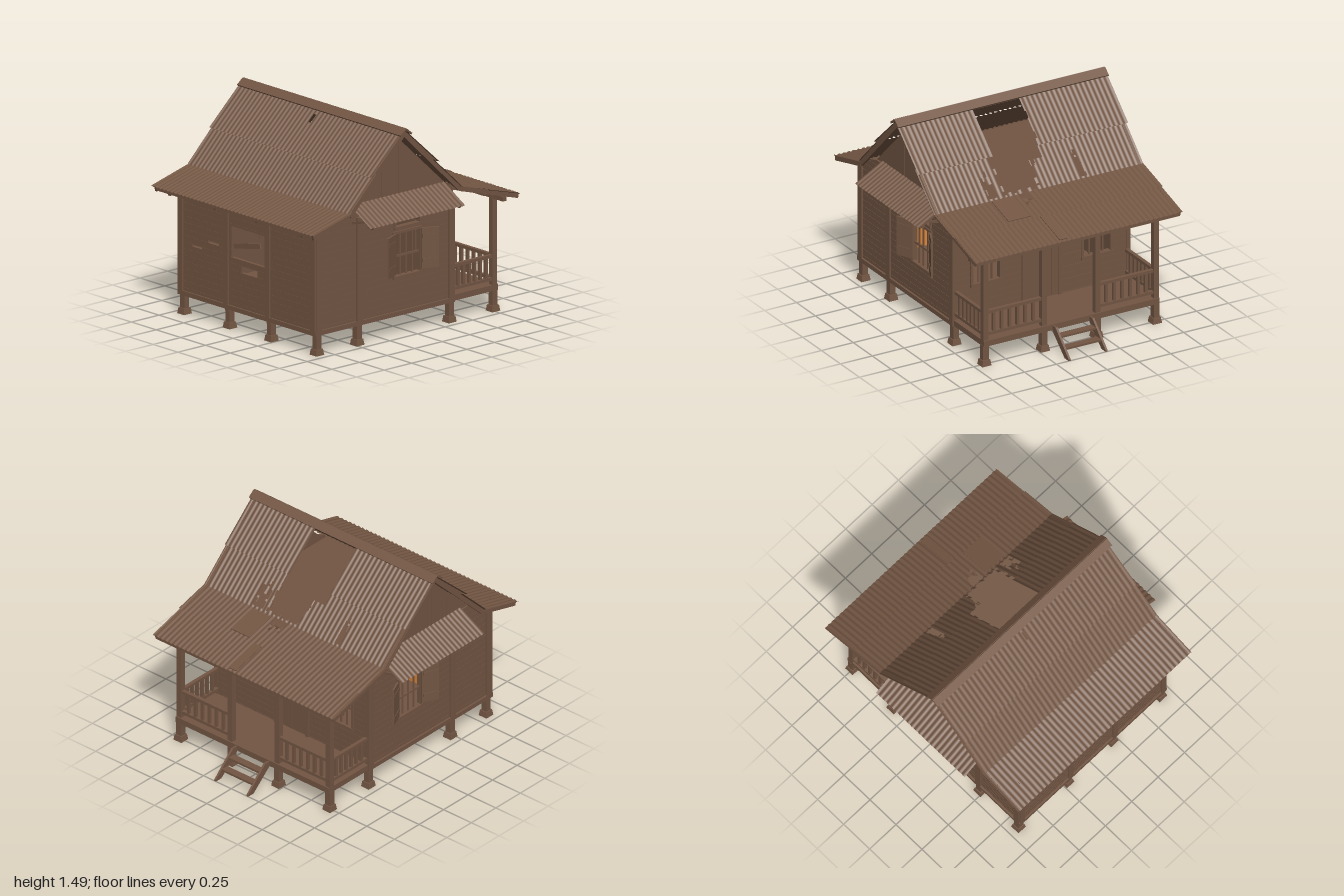
import * as THREE from 'three';

const brown = new THREE.MeshStandardMaterial({ color: 0x735643, side: THREE.DoubleSide });
brown.name = 'weathered brown';
const glow = new THREE.MeshStandardMaterial({ color: 0xdf8637 });
glow.name = 'warm orange';

function add(parent, name, geo, mat = brown) {
  const m = new THREE.Mesh(geo, mat);
  m.name = name;
  parent.add(m);
  return m;
}

// Box given by its lower and upper limits
function box(parent, name, x0, x1, y0, y1, z0, z1, mat) {
  const m = add(parent, name, new THREE.BoxGeometry(x1 - x0, y1 - y0, z1 - z0), mat);
  m.position.set((x0 + x1) / 2, (y0 + y1) / 2, (z0 + z1) / 2);
  return m;
}

// Straight timber between two points
function beam(parent, name, a, b, w, h) {
  const p = new THREE.Vector3(...a), q = new THREE.Vector3(...b), d = q.clone().sub(p);
  const m = add(parent, name, new THREE.BoxGeometry(d.length(), h, w));
  m.position.copy(p).add(q).multiplyScalar(0.5);
  m.quaternion.setFromUnitVectors(new THREE.Vector3(1, 0, 0), d.normalize());
  return m;
}

// Corrugated sheet running from a to b in x/y, waved along z; hole(t, z, jag) removes cells
function sheet(parent, name, a, b, z0, z1, hole) {
  const period = 0.038, nz = Math.round((z1 - z0) / period * 6), ns = hole ? 24 : 4;
  const len = Math.hypot(b[0] - a[0], b[1] - a[1]);
  const nx = -(b[1] - a[1]) / len, ny = (b[0] - a[0]) / len, s = Math.sign(ny);
  const pos = [], idx = [];
  for (let j = 0; j <= nz; j++) for (let i = 0; i <= ns; i++) {
    const t = i / ns, z = z0 + (z1 - z0) * j / nz;
    const w = 0.0035 * s * Math.cos((z - z0) / period * Math.PI * 2);
    pos.push(a[0] + (b[0] - a[0]) * t + nx * w, a[1] + (b[1] - a[1]) * t + ny * w, z);
  }
  for (let j = 0; j < nz; j++) for (let i = 0; i < ns; i++) {
    const t = (i + 0.5) / ns, z = z0 + (z1 - z0) * (j + 0.5) / nz;
    const jag = Math.sin(Math.floor(j / 2) * 7.3) * Math.cos(Math.floor(i / 3) * 4.1);
    if (hole && hole(t, z, jag)) continue;
    const p = j * (ns + 1) + i, q = p + ns + 1;
    if (s > 0) idx.push(p, q, p + 1, q, q + 1, p + 1);
    else idx.push(p, p + 1, q, q, p + 1, q + 1);
  }
  const g = new THREE.BufferGeometry();
  g.setAttribute('position', new THREE.Float32BufferAttribute(pos, 3));
  g.setIndex(idx);
  g.computeVertexNormals();
  return add(parent, name, g);
}

// Wall in its own frame: u across, y up, outer face at z = 0, with lapped board edges
function wall(parent, name, outline, holes, u0, u1, top) {
  const g = new THREE.Group();
  g.name = name;
  parent.add(g);
  const shape = new THREE.Shape(outline.map(p => new THREE.Vector2(...p)));
  for (const [a, b, c, d] of holes) {
    shape.holes.push(new THREE.Path([[a, c], [a, d], [b, d], [b, c]].map(p => new THREE.Vector2(...p))));
  }
  const body = add(g, 'wallBody', new THREE.ExtrudeGeometry(shape, { depth: 0.025, bevelEnabled: false }));
  body.position.z = -0.025;
  for (let y = 0.19; y < top; y += 0.046) {
    let start = u0;
    const cuts = holes.filter(h => y + 0.006 > h[2] && y < h[3]).sort((p, q) => p[0] - q[0]);
    for (const h of [...cuts, [u1, u1]]) {
      if (h[0] - start > 0.01) box(g, 'boardEdge', start, h[0], y, y + 0.005, 0, 0.002);
      start = h[1];
    }
  }
  return g;
}

// Frame around an opening, with optional bars
function windowFrame(g, [a, b, c, d], bars) {
  const t = 0.018;
  box(g, 'windowSill', a - t, b + t, c - 0.022, c, -0.028, 0.014);
  box(g, 'windowHead', a - t, b + t, d, d + t, -0.028, 0.01);
  box(g, 'windowJamb', a - t, a, c, d, -0.028, 0.01);
  box(g, 'windowJamb', b, b + t, c, d, -0.028, 0.01);
  if (!bars) return;
  for (let i = 1; i <= 3; i++) {
    const u = a + (b - a) * i / 4;
    box(g, 'windowBar', u - 0.006, u + 0.006, c, d, -0.014, -0.006);
  }
  const m = c + (d - c) * 0.46;
  box(g, 'windowCrossbar', a, b, m - 0.007, m + 0.007, -0.016, -0.004);
}

// Gable end with window, shutters and awning, facing +z
function gableEnd() {
  const end = new THREE.Group();
  const win = [-0.15, 0.075, 0.42, 0.715], transom = [-0.14, 0.07, 0.765, 0.848];
  const g = wall(end, 'gableWall', [[-0.875, 0.14], [0.38, 0.14], [0.38, 0.945], [0.34, 0.96],
    [-0.17, 1.435], [-0.65, 0.965], [-0.875, 0.9]], [win, transom], -0.87, 0.375, 0.93);
  g.position.z = 0.685;
  windowFrame(g, win, true);
  windowFrame(g, transom, false);
  for (const x of [-0.845, -0.475, 0.36]) box(g, 'wallPost', x - 0.025, x + 0.025, 0.14, 0.9, -0.02, 0.014);
  box(g, 'sillBoard', -0.88, 0.385, 0.14, 0.172, -0.02, 0.014);
  box(g, 'gableTie', -0.63, 0.31, 0.955, 0.98, -0.01, 0.012);
  for (const x of [-0.42, -0.27, -0.11, 0.05]) box(g, 'gableBatten', x - 0.003, x + 0.003, 0.98, 1.39 - Math.abs(x + 0.17) * 0.95, 0, 0.003);
  // Shutters standing half open
  for (const s of [-1, 1]) {
    const hinge = new THREE.Group();
    hinge.name = 'shutter';
    hinge.position.set(s < 0 ? -0.152 : 0.08, 0, 0.01);
    hinge.rotation.y = -s * 0.42;
    g.add(hinge);
    const x0 = s < 0 ? -0.127 : 0, x1 = x0 + 0.127;
    box(hinge, 'shutterPanel', x0, x1, 0.435, 0.72, -0.005, 0.008);
    for (const y of [0.48, 0.65]) box(hinge, 'shutterBatten', x0 + 0.01, x1 - 0.01, y, y + 0.025, 0.008, 0.012);
  }
  // Awning over the window
  const awning = new THREE.Group();
  awning.name = 'awning';
  awning.rotation.y = -Math.PI / 2;
  sheet(awning, 'awningSheet', [0.69, 1.0], [0.905, 0.88], -0.29, 0.56);
  for (const z of [-0.26, 0.13, 0.53]) {
    beam(awning, 'awningRafter', [0.69, 0.985, z], [0.89, 0.872, z], 0.02, 0.016);
    beam(awning, 'awningBrace', [0.69, 0.87, z], [0.82, 0.905, z], 0.016, 0.016);
  }
  box(awning, 'awningRail', 0.86, 0.88, 0.874, 0.888, -0.28, 0.55);
  end.add(awning);
  // Roof edge boards, doubled under the raised upper sheets
  const line = [[-0.99, 0.875], [-0.66, 0.962], [-0.17, 1.452], [0.34, 0.967], [0.865, 0.816]];
  for (let i = 0; i < 4; i++) beam(end, 'bargeboard', [...line[i], 0.795], [...line[i + 1], 0.795], 0.02, 0.034);
  for (const x of [-0.45, 0.116]) beam(end, 'upperEdgeBoard', [-0.17, 1.464, 0.795], [x, 1.203, 0.795], 0.02, 0.018);
  return end;
}

export function createModel() {
  const model = new THREE.Group();
  model.name = 'cabin';
  for (const s of [1, -1]) {
    const end = gableEnd();
    end.name = s > 0 ? 'frontEnd' : 'backEnd';
    end.scale.z = s;
    model.add(end);
  }

  // Porch wall with two windows and the door
  const wins = [], transoms = [];
  for (const s of [-1, 1]) {
    const u = s * 0.435;
    wins.push([u - 0.105, u + 0.105, 0.42, 0.725]);
    transoms.push([u - 0.103, u + 0.103, 0.744, 0.802]);
    // Lit screen standing inside, behind each porch window
    const screen = add(model, 'litScreen', new THREE.PlaneGeometry(0.26, 0.42), glow);
    screen.rotation.y = Math.PI / 2;
    screen.position.set(-0.35, 0.61, u);
  }
  const porchWall = wall(model, 'porchWall', [[-0.68, 0.14], [0.68, 0.14], [0.68, 0.945], [-0.68, 0.945]],
    [...wins, ...transoms], -0.68, 0.68, 0.93);
  porchWall.rotation.y = Math.PI / 2;
  porchWall.position.x = 0.38;
  wins.forEach(w => windowFrame(porchWall, w, true));
  transoms.forEach(w => {
    box(porchWall, 'transomHead', w[0] - 0.018, w[1] + 0.018, w[3], w[3] + 0.018, -0.028, 0.008);
    box(porchWall, 'transomPane', w[0], w[1], w[2], w[3], -0.004, 0.002, glow);
  });
  box(porchWall, 'door', -0.13, 0.13, 0.195, 0.74, 0, 0.01);
  for (const u of [-0.06, 0.01, 0.075]) box(porchWall, 'doorSeam', u - 0.003, u + 0.003, 0.2, 0.735, 0.01, 0.013);
  for (const s of [-1, 1]) box(porchWall, 'doorJamb', s * 0.143 - 0.013, s * 0.143 + 0.013, 0.18, 0.8, 0, 0.014);
  box(porchWall, 'doorHead', -0.165, 0.165, 0.745, 0.775, 0, 0.016);

  // Rear long wall with broken boards
  const gaps = [[-0.16, 0.18, 0.51, 0.73], [-0.06, 0.1, 0.42, 0.47], [-0.56, -0.46, 0.5, 0.515], [-0.4, -0.29, 0.56, 0.58]];
  const sideWall = wall(model, 'sideWall', [[-0.68, 0.14], [0.68, 0.14], [0.68, 0.9], [-0.68, 0.9]], gaps, -0.68, 0.68, 0.88);
  sideWall.rotation.y = -Math.PI / 2;
  sideWall.position.x = -0.87;
  for (const u of [-0.67, -0.21, 0.21, 0.67]) box(sideWall, 'wallPost', u - 0.022, u + 0.022, 0.14, 0.9, -0.02, 0.012);
  box(sideWall, 'sillBoard', -0.69, 0.69, 0.14, 0.172, -0.02, 0.012);
  const brokenBoard = box(sideWall, 'brokenBoard', -0.15, 0.12, 0.6, 0.635, -0.02, -0.008);
  brokenBoard.rotation.z = 0.2;

  // Floors, ceiling and joists
  box(model, 'houseFloor', -0.87, 0.38, 0.14, 0.175, -0.68, 0.68);
  box(model, 'porchFloor', 0.38, 0.785, 0.145, 0.187, -0.69, 0.69);
  box(model, 'ceiling', -0.8, 0.37, 0.91, 0.925, -0.66, 0.66);
  for (const z of [-0.21, 0.21]) box(model, 'floorJoist', -0.87, 0.78, 0.122, 0.15, z - 0.018, z + 0.018);

  // Foundation piers
  for (const x of [-0.84, -0.475, 0.36, 0.755]) for (const z of [-0.67, -0.21, 0.21, 0.67]) {
    box(model, 'pier', x - 0.022, x + 0.022, 0.03, 0.15, z - 0.022, z + 0.022);
    const foot = add(model, 'pierFoot', new THREE.CylinderGeometry(0.041, 0.05, 0.042, 4, 1).rotateY(Math.PI / 4).toNonIndexed());
    foot.geometry.computeVertexNormals();
    foot.position.set(x, 0.021, z);
  }

  // Porch posts, beam and railings
  for (const z of [-0.67, -0.21, 0.21, 0.67]) {
    box(model, 'porchPost', 0.735, 0.775, 0.18, 0.83, z - 0.02, z + 0.02);
    beam(model, 'porchRafter', [0.36, 0.945, z], [0.85, 0.812, z], 0.025, 0.03);
    beam(model, 'eaveRafter', [-0.85, 0.895, z], [-0.98, 0.868, z], 0.025, 0.03);
  }
  box(model, 'porchBeam', 0.738, 0.772, 0.795, 0.828, -0.79, 0.79);
  box(model, 'porchFascia', 0.848, 0.868, 0.803, 0.83, -0.8, 0.8);
  box(model, 'eaveFascia', -0.985, -0.965, 0.865, 0.89, -0.8, 0.8);
  box(model, 'porchPurlin', 0.56, 0.585, 0.87, 0.89, -0.79, 0.79);
  const railing = (a, b) => {
    for (const y of [0.228, 0.388]) beam(model, 'rail', [a[0], y, a[1]], [b[0], y, b[1]], 0.026, 0.022);
    for (let i = 1; i <= 6; i++) {
      const t = i / 7, x = a[0] + (b[0] - a[0]) * t, z = a[1] + (b[1] - a[1]) * t;
      box(model, 'baluster', x - 0.01, x + 0.01, 0.235, 0.385, z - 0.01, z + 0.01);
    }
  };
  for (const s of [-1, 1]) {
    railing([0.385, s * 0.67], [0.74, s * 0.67]);
    railing([0.755, s * 0.225], [0.755, s * 0.66]);
  }

  // Entry steps
  for (const z of [-0.145, 0.145]) {
    const side = new THREE.Shape([[0.785, 0.18], [0.825, 0.18], [1, 0.01], [1, 0], [0.945, 0], [0.785, 0.14]].map(p => new THREE.Vector2(...p)));
    add(model, 'stepStringer', new THREE.ExtrudeGeometry(side, { depth: 0.016, bevelEnabled: false })).position.z = z - 0.008;
  }
  box(model, 'step', 0.815, 0.87, 0.115, 0.13, -0.14, 0.14);
  box(model, 'step', 0.885, 0.94, 0.055, 0.07, -0.14, 0.14);

  // Corrugated roof, torn open on the porch slope
  sheet(model, 'upperRoofPorchSide', [-0.17, 1.478], [0.138, 1.2], -0.825, 0.82,
    (t, z, j) => z > -0.13 + j * 0.008 && z < 0.235);
  sheet(model, 'lowerRoofPorchSide', [0.09, 1.22], [0.345, 0.982], -0.82, 0.82, (t, z, j) =>
    (z > (t < 0.38 ? -0.13 : -0.05 + t * 0.04) + j * 0.02 && z < 0.265 + j * 0.025 && t < 0.95 + j * 0.04)
    || (t > 0.64 + j * 0.27 && t < 0.96 && z > 0.31 && z < 0.395)
    || (t > 0.46 + j * 0.1 && t < 0.96 && z < -0.34 && z > -0.36 - t * 0.03));
  sheet(model, 'upperPorchRoof', [0.33, 0.985], [0.605, 0.912], -0.82, 0.82,
    (t, z, j) => t < 0.3 + j * 0.15 && z > 0.07 && z < 0.17);
  sheet(model, 'lowerPorchRoof', [0.59, 0.91], [0.877, 0.831], -0.815, 0.815);
  sheet(model, 'upperRoofRear', [-0.17, 1.478], [-0.472, 1.2], -0.828, 0.812,
    (t, z, j) => t > 0.22 && t < 0.36 && z > -0.045 + j * 0.01 && z < -0.02);
  sheet(model, 'lowerRoofRear', [-0.427, 1.22], [-0.668, 0.982], -0.828, 0.812);
  sheet(model, 'rearEaveRoof', [-0.65, 0.983], [-1, 0.892], -0.828, 0.812);

  // Ridge cap and loose roof pieces
  for (const s of [-1, 1]) beam(model, 'ridgeCap', [-0.17, 1.489, 0], [-0.17 + s * 0.05, 1.449, 0], 1.655, 0.012);
  beam(model, 'ridgeBeam', [-0.17, 1.44, -0.78], [-0.17, 1.44, 0.78], 0.03, 0.03);
  beam(model, 'looseSheet', [0.36, 0.981, 0.29], [0.58, 0.923, 0.29], 0.17, 0.006);
  beam(model, 'loosePlank', [0.6, 0.912, 0.11], [0.86, 0.841, 0.11], 0.06, 0.006);
  return model;
}
